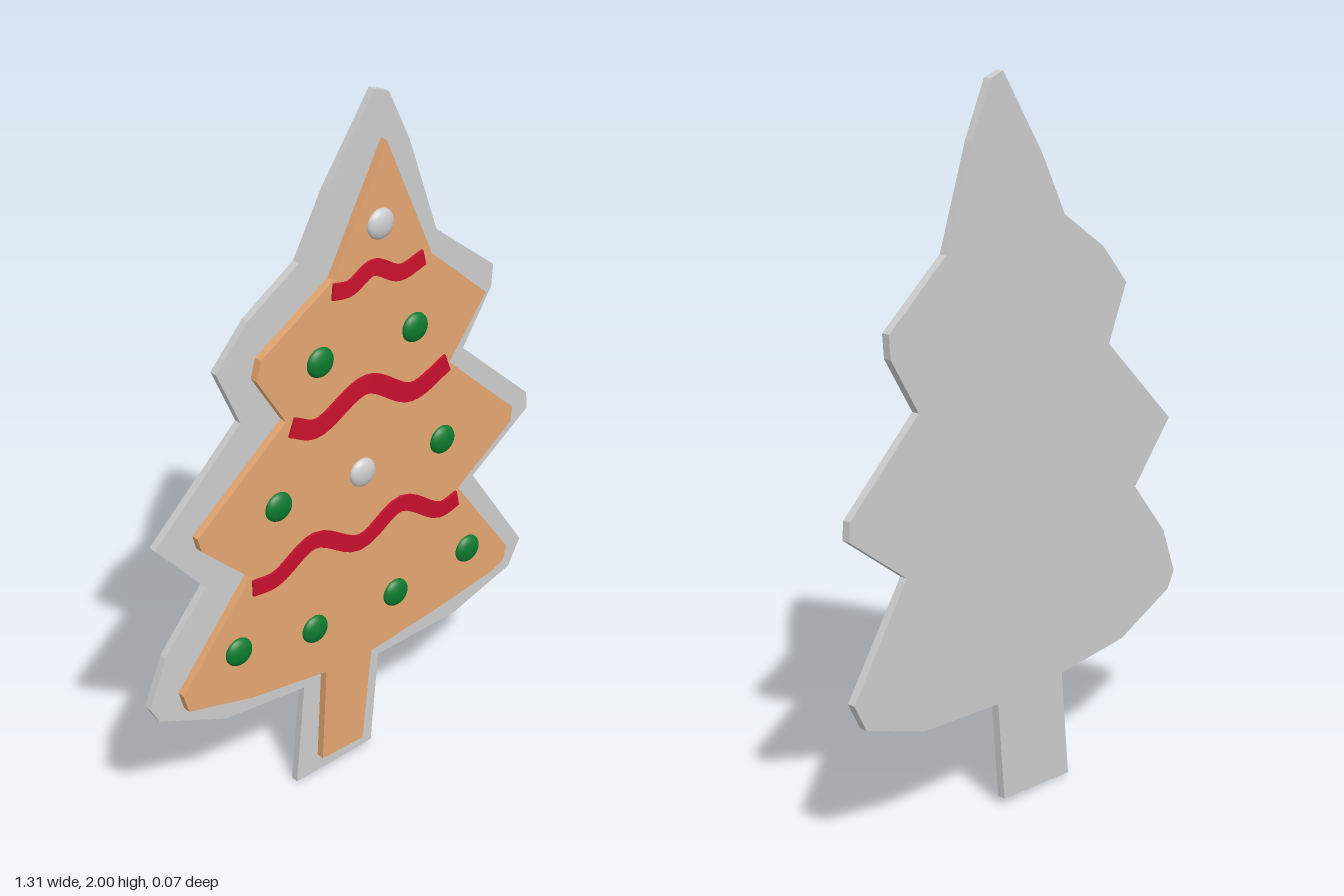
import * as THREE from 'three';

const mat = (color) => new THREE.MeshStandardMaterial({ color });

// Flat plate cut from an outline, spanning z0..z1
function plate(name, points, z0, z1, material) {
  const shape = new THREE.Shape(points.map(([x, y]) => new THREE.Vector2(x, y)));
  const geo = new THREE.ExtrudeGeometry(shape, { depth: z1 - z0, bevelEnabled: false });
  geo.translate(0, 0, z0);
  const mesh = new THREE.Mesh(geo, material);
  mesh.name = name;
  return mesh;
}

// Wavy icing: offset a smooth centre line to both sides
function icing(name, points, width, material) {
  const curve = new THREE.CatmullRomCurve3(points.map(([x, y]) => new THREE.Vector3(x, y, 0)));
  const upper = [], lower = [], n = 36;
  for (let i = 0; i <= n; i++) {
    const p = curve.getPoint(i / n), t = curve.getTangent(i / n);
    const dx = -t.y * width / 2, dy = t.x * width / 2;
    upper.push([p.x + dx, p.y + dy]);
    lower.push([p.x - dx, p.y - dy]);
  }
  return plate(name, [...lower, ...upper.reverse()], 0.008, 0.02, material);
}

export function createModel() {
  const group = new THREE.Group();
  group.name = 'treeCookie';
  const grey = mat(0xcccccc), dough = mat(0xe3a570), red = mat(0xc8112d), green = mat(0x0c7a2e);

  // Backing plate with a wide border
  group.add(plate('backing', [
    [-0.18, 0], [0.09, 0.02], [0.115, 0.31], [0.4, 0.33], [0.61, 0.405], [0.65, 0.485],
    [0.457, 0.77], [0.655, 0.92], [0.65, 0.97], [0.405, 1.19], [0.5, 1.345], [0.505, 1.41],
    [0.3, 1.57], [0.205, 1.84], [0.135, 1.985], [0.09, 2], [-0.06, 1.775], [-0.15, 1.605],
    [-0.31, 1.495], [-0.41, 1.38], [-0.34, 1.22], [-0.615, 0.95], [-0.465, 0.78],
    [-0.6, 0.615], [-0.655, 0.475], [-0.627, 0.425], [-0.415, 0.335], [-0.15, 0.315],
  ], -0.034, -0.011, grey));

  // Gingerbread tree
  group.add(plate('cookie', [
    [-0.105, 0.06], [0.04, 0.065], [0.07, 0.355], [0.325, 0.395], [0.52, 0.435], [0.565, 0.455],
    [0.575, 0.5], [0.38, 0.77], [0.57, 0.915], [0.575, 0.96], [0.335, 1.18], [0.46, 1.35],
    [0.265, 1.52], [0.11, 1.87], [-0.06, 1.54], [-0.29, 1.39], [-0.305, 1.335], [-0.215, 1.19],
    [-0.5, 0.95], [-0.49, 0.91], [-0.34, 0.77], [-0.565, 0.49], [-0.55, 0.435],
    [-0.345, 0.385], [-0.09, 0.355],
  ], -0.011, 0.013, dough));

  // Icing garlands
  group.add(icing('topGarland',
    [[-0.065, 1.51], [-0.01, 1.505], [0.065, 1.54], [0.155, 1.5], [0.235, 1.52]], 0.045, red));
  group.add(icing('middleGarland',
    [[-0.2, 1.17], [-0.12, 1.14], [0.045, 1.212], [0.2, 1.138], [0.325, 1.185]], 0.055, red));
  group.add(icing('bottomGarland',
    [[-0.335, 0.735], [-0.26, 0.735], [-0.13, 0.802], [0.025, 0.735], [0.17, 0.802],
      [0.31, 0.728], [0.375, 0.742]], 0.048, red));

  // Candy buttons: flattened domes
  const dome = new THREE.SphereGeometry(0.042, 28, 10, 0, Math.PI * 2, 0, Math.PI / 2);
  dome.rotateX(Math.PI / 2);
  dome.scale(1, 1, 0.5);
  const button = (name, material) => ([x, y]) => {
    const mesh = new THREE.Mesh(dome, material);
    mesh.name = name;
    mesh.position.set(x, y, 0.013);
    group.add(mesh);
  };
  [[0.09, 1.653], [0.035, 0.95]].forEach(button('silverButton', grey));
  [[-0.105, 1.325], [0.21, 1.325], [-0.245, 0.95], [0.315, 0.95],
    [-0.385, 0.555], [-0.13, 0.517], [0.155, 0.517], [0.42, 0.555]].forEach(button('greenButton', green));

  return group;
}
